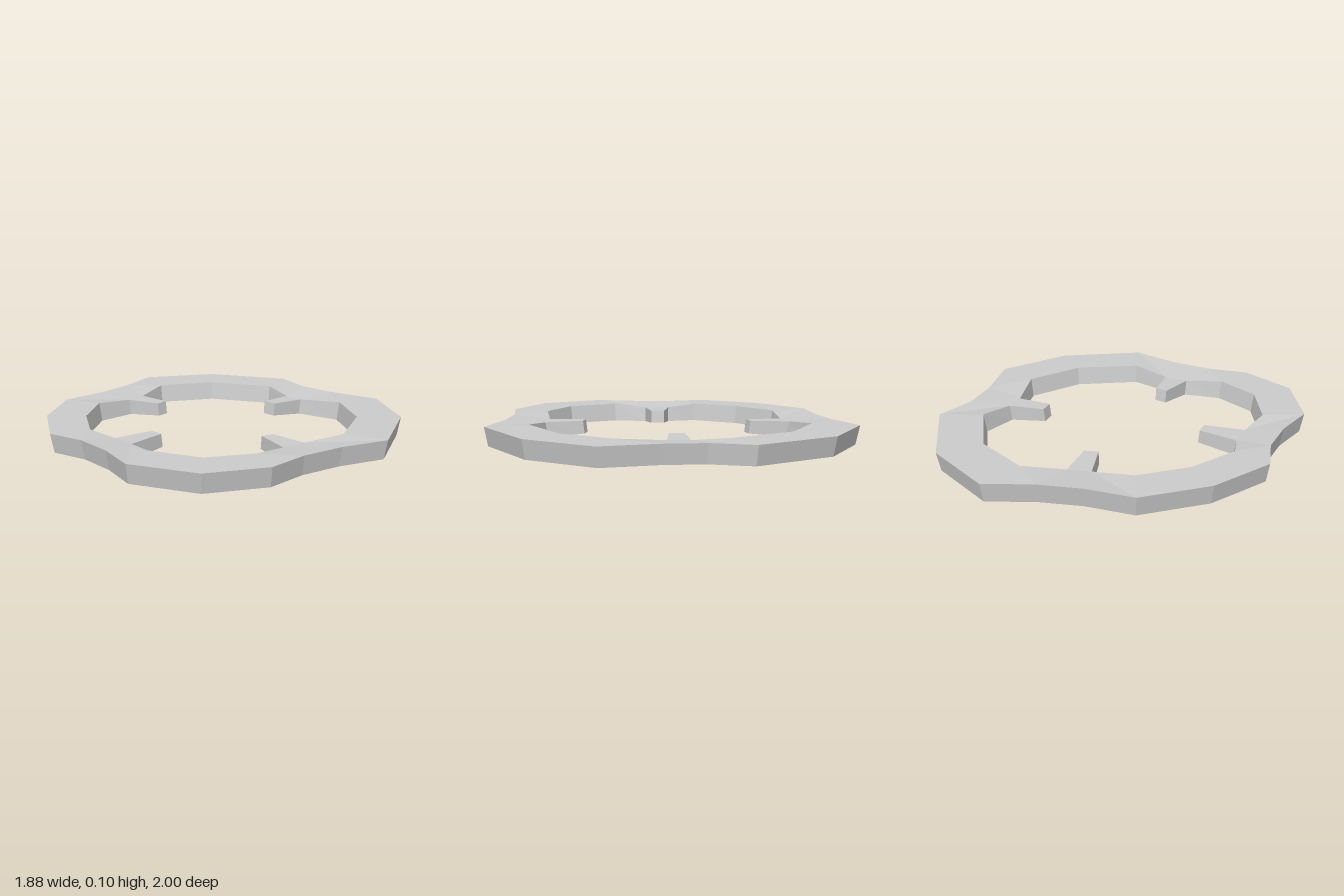
import * as THREE from 'three';

// Plan outlines as [x, z], running from the back towards +x; both loops pair up point by point
const OUTER = [
  [-0.27, -1.0], [0.2, -0.95], [0.34, -0.77], [0.52, -0.65], [0.79, -0.53],
  [0.935, -0.14], [0.88, 0.32], [0.67, 0.48], [0.51, 0.65], [0.39, 0.85],
  [0.1, 1.0], [-0.26, 0.93], [-0.41, 0.75], [-0.58, 0.61], [-0.77, 0.53],
  [-0.915, 0.2], [-0.94, -0.17], [-0.8, -0.38], [-0.71, -0.58], [-0.64, -0.83],
];
const INNER = [
  [-0.22, -0.765], [0.145, -0.725], [0.27, -0.57], [0.36, -0.5], [0.59, -0.4],
  [0.705, -0.1], [0.66, 0.25], [0.48, 0.38], [0.39, 0.48], [0.29, 0.66],
  [0.06, 0.77], [-0.22, 0.71], [-0.34, 0.565], [-0.45, 0.48], [-0.6, 0.415],
  [-0.71, 0.16], [-0.73, -0.12], [-0.61, -0.3], [-0.56, -0.41], [-0.505, -0.625],
];
// Each prong grows from inner points root and root + 1
const PRONGS = [
  { name: 'backLeftProng', root: 2, tip: [[0.165, -0.4], [0.23, -0.355]] },
  { name: 'frontLeftProng', root: 7, tip: [[0.31, 0.275], [0.26, 0.32]] },
  { name: 'frontRightProng', root: 12, tip: [[-0.24, 0.38], [-0.3, 0.335]] },
  { name: 'backRightProng', root: 17, tip: [[-0.42, -0.225], [-0.39, -0.29]] },
];
const HEIGHT = 0.1, ROOT_TOP = 0.082, TIP_TOP = 0.087, TIP_BOTTOM = 0.018;
const TAPER = 0.98; // the underside is drawn in towards the centre

const material = new THREE.MeshStandardMaterial({ color: 0xcccccc, flatShading: true });

const top = ([x, z], y) => [x, y, z];
const bottom = ([x, z], y = 0) => [x * TAPER, y, z * TAPER];

// Flat-shaded mesh from a list of four-cornered faces
function quadMesh(name, quads) {
  const positions = quads.flatMap(([a, b, c, d]) => [...a, ...b, ...c, ...a, ...c, ...d]);
  const geometry = new THREE.BufferGeometry();
  geometry.setAttribute('position', new THREE.Float32BufferAttribute(positions, 3));
  geometry.computeVertexNormals();
  const mesh = new THREE.Mesh(geometry, material);
  mesh.name = name;
  return mesh;
}

// Wavy ring, dipping slightly at the prong roots
function createRing() {
  const n = OUTER.length;
  const isRoot = (i) => PRONGS.some((p) => i === p.root || i === p.root + 1);
  const section = (i) => ({
    ot: top(OUTER[i], HEIGHT), ob: bottom(OUTER[i]),
    it: top(INNER[i], isRoot(i) ? ROOT_TOP : HEIGHT), ib: bottom(INNER[i]),
  });
  const quads = [];
  for (let i = 0; i < n; i++) {
    const a = section(i), b = section((i + 1) % n);
    quads.push([a.ot, a.it, b.it, b.ot], [a.ot, b.ot, b.ob, a.ob], [a.ob, b.ob, b.ib, a.ib]);
    // The prongs cover the inner wall at their roots
    if (!PRONGS.some((p) => p.root === i)) quads.push([a.it, a.ib, b.ib, b.it]);
  }
  return quadMesh('ring', quads);
}

// Tapered prong pointing into the opening
function createProng({ name, root, tip }) {
  const [a, b] = [0, 1].map((k) => ({
    rt: top(INNER[root + k], ROOT_TOP), rb: bottom(INNER[root + k]),
    tt: top(tip[k], TIP_TOP), tb: bottom(tip[k], TIP_BOTTOM),
  }));
  return quadMesh(name, [
    [a.rt, a.tt, b.tt, b.rt], // top
    [a.rb, b.rb, b.tb, a.tb], // underside
    [a.tt, a.tb, b.tb, b.tt], // tip
    [a.rt, a.rb, a.tb, a.tt], // sides
    [b.rt, b.tt, b.tb, b.rb],
  ]);
}

export function createModel() {
  const group = new THREE.Group();
  group.name = 'prongedRing';
  group.add(createRing(), ...PRONGS.map(createProng));
  return group;
}
